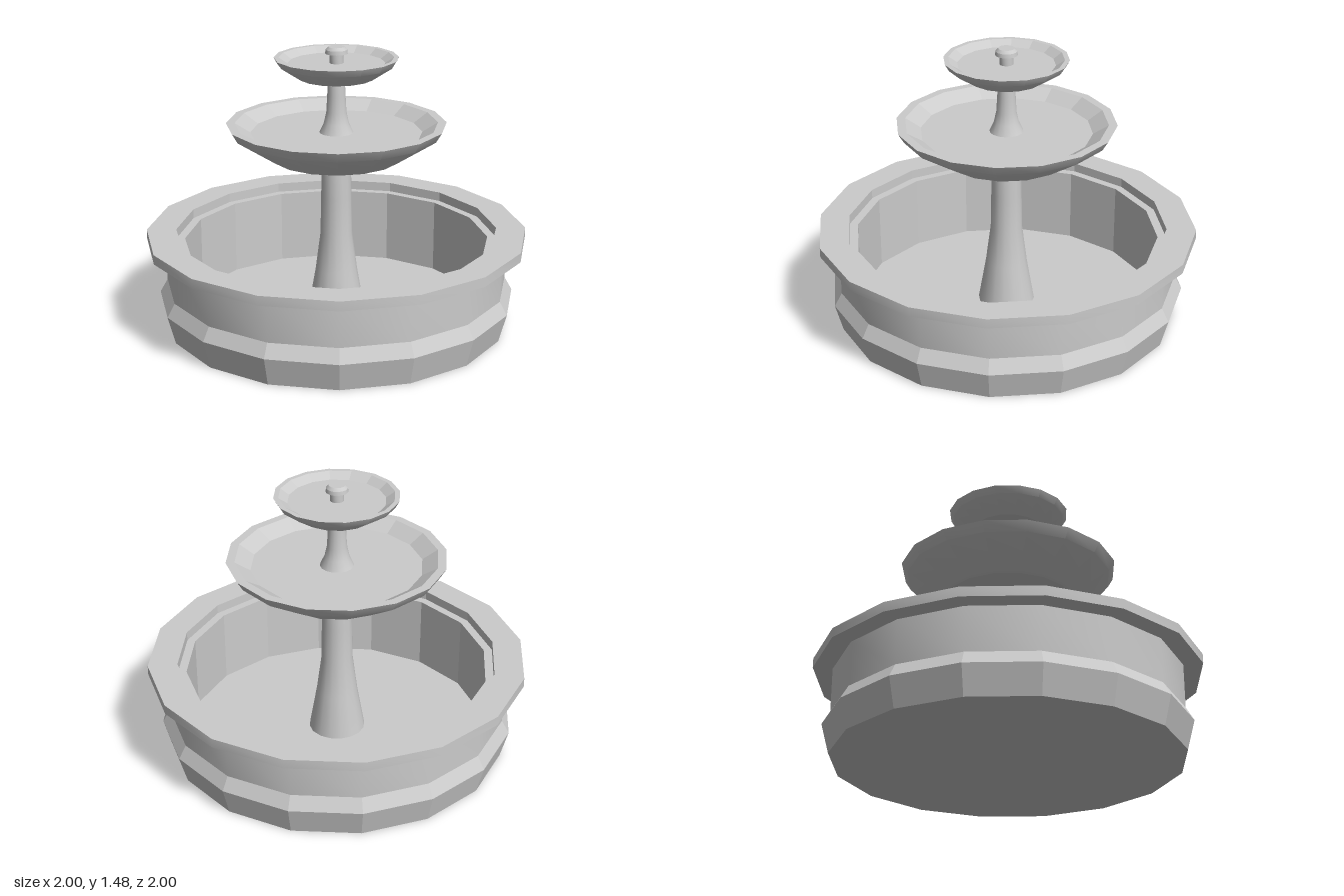
import * as THREE from 'three';
import { toCreasedNormals } from 'three/addons/utils/BufferGeometryUtils.js';

const SIDES = 16;
const faceted = new THREE.MeshStandardMaterial({ color: 0xcccccc, flatShading: true });
const smooth = new THREE.MeshStandardMaterial({ color: 0xcccccc });

// Turns a profile of [radius, height] pairs, listed up the outside and down the inside
function turned(name, profile, material = smooth, sides = SIDES) {
  const points = profile.map(([r, y]) => new THREE.Vector2(r, y));
  const lathe = new THREE.LatheGeometry(points, sides);
  const geometry = toCreasedNormals(lathe, THREE.MathUtils.degToRad(30));
  const mesh = new THREE.Mesh(geometry, material);
  mesh.name = name;
  return mesh;
}

function group(name, ...parts) {
  const g = new THREE.Group();
  g.name = name;
  g.add(...parts);
  return g;
}

// Dish with a smooth outside and a faceted inside
function bowl(name, outside, inside) {
  return group(name,
    turned(name + 'Outside', outside),
    turned(name + 'Inside', inside, faceted));
}

export function createModel() {
  // Large basin: faceted plinth, smooth wall, projecting rim, stepped inside
  const basin = group('basin',
    turned('basinPlinth', [[0, 0], [0.9, 0], [0.94, 0.15], [0.9, 0.22]], faceted),
    turned('basinWall', [[0.9, 0.22], [0.9, 0.45]]),
    turned('basinRim', [[0.9, 0.45], [1, 0.45], [1, 0.5], [0.845, 0.5]]),
    turned('basinInside', [[0.845, 0.5], [0.845, 0.45], [0.8, 0.45], [0.8, 0.05], [0, 0.05]], faceted));

  // Tiered bowls
  const lowerBowl = bowl('lowerBowl',
    [[0, 0.9], [0.34, 0.9], [0.54, 1.03], [0.57, 1.08]],
    [[0.57, 1.08], [0.525, 1.08], [0.445, 1.03], [0, 1.03]]);
  const upperBowl = bowl('upperBowl',
    [[0, 1.32], [0.195, 1.32], [0.3, 1.39], [0.32, 1.425]],
    [[0.32, 1.425], [0.295, 1.425], [0.25, 1.395], [0, 1.395]]);

  // Flared columns
  const lowerColumn = turned('lowerColumn',
    [[0.15, 0.05], [0.11, 0.28], [0.084, 0.48], [0.08, 0.68], [0.075, 0.9]]);
  const upperColumn = turned('upperColumn',
    [[0.088, 1.03], [0.065, 1.08], [0.052, 1.14], [0.047, 1.23], [0.043, 1.32]]);

  // Button-shaped finial
  const finial = turned('finial',
    [[0.035, 1.395], [0.035, 1.445], [0.058, 1.445], [0.055, 1.465], [0.042, 1.48], [0, 1.48]]);

  return group('fountain', basin, lowerColumn, lowerBowl, upperColumn, upperBowl, finial);
}
